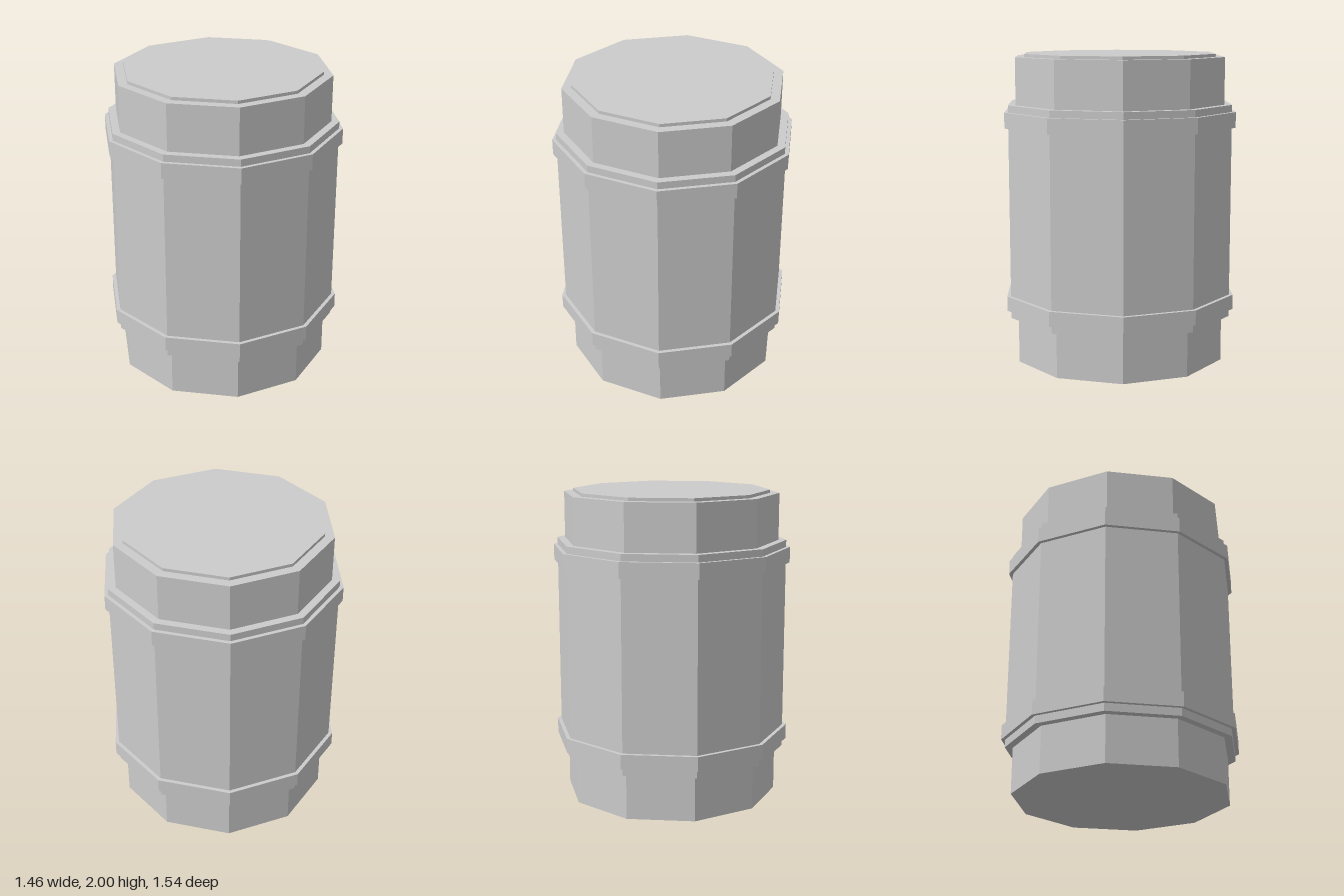
import * as THREE from 'three';

const SIDES = 10;

export function createModel() {
  const group = new THREE.Group();
  group.name = 'canister';
  const grey = new THREE.MeshStandardMaterial({ color: 0xcccccc, flatShading: true });
  grey.name = 'light grey';

  // Ten-sided drum section with a corner facing front
  const section = (name, radius, bottom, top) => {
    const mesh = new THREE.Mesh(new THREE.CylinderGeometry(radius, radius, top - bottom, SIDES), grey);
    mesh.name = name;
    mesh.position.y = (bottom + top) / 2;
    group.add(mesh);
  };

  section('foot', 0.695, 0, 0.3);
  section('body', 0.745, 0.3, 1.68);
  section('neck', 0.695, 1.68, 1.98);
  section('lid', 0.635, 1.98, 2);

  // Raised bands around the body
  section('lowerBand', 0.77, 0.35, 0.445);
  section('upperBand', 0.77, 1.535, 1.635);

  return group;
}
